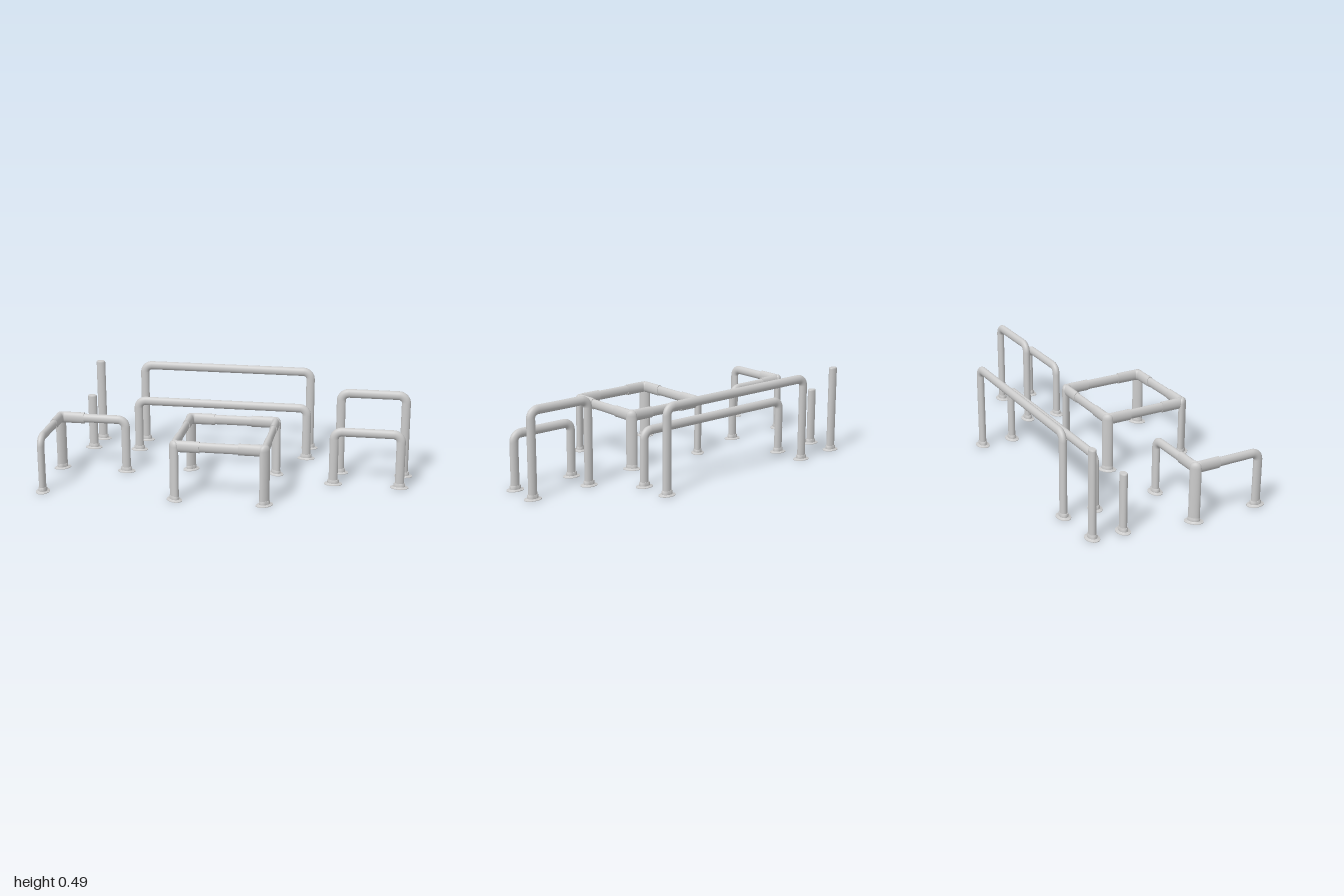
import * as THREE from 'three';
import { toCreasedNormals } from 'three/addons/utils/BufferGeometryUtils.js';

const steel = new THREE.MeshStandardMaterial({ color: 0xcccccc });
const LOW = 0.3, TALL = 0.464;   // centre heights of the horizontal bars
const A = 0.0245, B = 0.019;     // half sizes of the oval tube: in and across its plane

// Stations along a planar polyline whose right-angled corners are rounded
function bentPath(points, radius) {
  const p = points.map(([x, y]) => new THREE.Vector2(x, y));
  const dir = p.slice(1).map((q, i) => q.clone().sub(p[i]).normalize());
  const out = [{ p: p[0], t: dir[0], s: 1 }];
  for (let i = 1; i < p.length - 1; i++) {
    const d0 = dir[i - 1], d1 = dir[i];
    const c = p[i].clone().addScaledVector(d0, -radius).addScaledVector(d1, radius);
    for (let k = 0; k <= 8; k++) {
      const cos = Math.cos(k * Math.PI / 16), sin = Math.sin(k * Math.PI / 16);
      out.push({
        p: c.clone().addScaledVector(d1, -radius * cos).addScaledVector(d0, radius * sin),
        t: d0.clone().multiplyScalar(cos).addScaledVector(d1, sin), s: 1,
      });
    }
  }
  out.push({ p: p[p.length - 1], t: dir[dir.length - 1], s: 1 });
  return out;
}

// Upright stations given as [height, scale]
const uprightPath = (list) => list.map(([y, s]) => (
  { p: new THREE.Vector2(0, y), t: new THREE.Vector2(0, 1), s }));

// Sweep an oval (a in the xy plane, b along z) and close both ends
function ovalTube(path, a, b, sides = 24) {
  const pos = [], idx = [];
  const ring = ({ p, t, s }) => {
    const start = pos.length / 3;
    for (let j = 0; j < sides; j++) {
      const th = j / sides * Math.PI * 2, u = Math.cos(th) * a * s;
      pos.push(p.x - t.y * u, p.y + t.x * u, Math.sin(th) * b * s);
    }
    return start;
  };
  const starts = path.map(ring);
  for (let i = 0; i < starts.length - 1; i++) {
    for (let j = 0; j < sides; j++) {
      const k = (j + 1) % sides, q = starts[i], r = starts[i + 1];
      idx.push(q + j, q + k, r + k, q + j, r + k, r + j);
    }
  }
  [path[0], path[path.length - 1]].forEach((st, end) => {
    const q = ring(st), c = pos.length / 3;
    pos.push(st.p.x, st.p.y, 0);
    for (let j = 0; j < sides; j++) {
      const k = (j + 1) % sides;
      idx.push(c, q + (end ? j : k), q + (end ? k : j));
    }
  });
  const g = new THREE.BufferGeometry();
  g.setAttribute('position', new THREE.Float32BufferAttribute(pos, 3));
  g.setIndex(idx);
  g.computeVertexNormals();
  return g;
}

function add(parent, name, geometry, x = 0, y = 0, z = 0, turn = 0) {
  const m = new THREE.Mesh(geometry, steel);
  m.name = name;
  m.position.set(x, y, z);
  m.rotation.y = turn;
  parent.add(m);
  return m;
}

function section(parent, name) {
  const g = new THREE.Group();
  g.name = name;
  parent.add(g);
  return g;
}

// Oval floor flange with a short collar
const footProfile = [[0, 0], [0.05, 0], [0.05, 0.003], [0.034, 0.006], [0.0315, 0.008],
  [0.0315, 0.022], [0.029, 0.027], [0.018, 0.027]];
const footGeometry = toCreasedNormals(
  new THREE.LatheGeometry(footProfile.map(([x, y]) => new THREE.Vector2(x, y)), 20)
    .scale(1, 1, 0.73), 0.6);
const foot = (parent, x, z, turn = 0) => add(parent, 'foot', footGeometry, x, 0, z, turn);

// Hoop rail: two legs joined by a bar
function hoop(root, name, x0, x1, h, z) {
  const g = section(root, name);
  add(g, 'hoopTube', ovalTube(bentPath([[x0, 0.003], [x0, h], [x1, h], [x1, 0.003]], 0.042), A, B), 0, 0, z);
  foot(g, x0, z);
  foot(g, x1, z);
}

// Single upright post with a softly bevelled top
function post(root, name, x, z, h) {
  const g = section(root, name);
  add(g, 'postTube', ovalTube(uprightPath(
    [[0.003, 1], [h - 0.008, 1], [h - 0.003, 0.95], [h, 0.85]]), 0.026, B), x, 0, z);
  foot(g, x, z);
}

// Corner fitting: diagonal oval leg, domed top and two horizontal sleeves.
// sx, sz point outward from the corner.
function corner(parent, x, z, sx, sz) {
  const g = section(parent, 'corner');
  const turn = sx * sz * Math.PI / 4, arm = 0.137;
  add(g, 'cornerLeg', ovalTube(uprightPath(
    [[0.003, 1], [0.3, 1], [0.312, 0.93], [0.322, 0.75], [0.328, 0.45], [0.33, 0.15]]),
    0.0305, 0.02), x, 0, z, turn);
  const elbow = ovalTube(bentPath([[-sx * arm, 0], [0, 0], [0, -sz * arm]], 0.026), 0.0205, 0.0315);
  add(g, 'cornerSleeve', elbow.rotateX(Math.PI / 2), x, LOW, z);
  foot(g, x, z, turn);
}

// Square frame on four corner legs
function squareFrame(root) {
  const g = section(root, 'squareFrame');
  const xs = [-0.236, 0.243], zs = [-0.011, 0.464];
  const bar = (length) => ovalTube(bentPath([[0, 0], [length, 0]], 0), 0.027, 0.0175);
  xs.forEach((x, i) => zs.forEach((z, j) => corner(g, x, z, i * 2 - 1, j * 2 - 1)));
  zs.forEach((z) => add(g, 'crossBar', bar(xs[1] - xs[0]), xs[0], LOW, z));
  xs.forEach((x) => add(g, 'sideBar', bar(zs[1] - zs[0]), x, LOW, zs[0], -Math.PI / 2));
}

// L-shaped rail: one corner leg and two arms that bend down to the floor
function cornerRail(root) {
  const g = section(root, 'cornerRail');
  const x = -0.958, z = 0.078, across = 0.37, forward = 0.378;
  const arm = (length) => ovalTube(bentPath([[0, LOW], [length, LOW], [length, 0.003]], 0.042), A, B);
  corner(g, x, z, -1, -1);
  add(g, 'acrossArm', arm(across), x, 0, z);
  add(g, 'forwardArm', arm(forward), x, 0, z, -Math.PI / 2);
  foot(g, x + across, z);
  foot(g, x, z + forward, Math.PI / 2);
}

export function createModel() {
  const root = new THREE.Group();
  root.name = 'exerciseBars';
  hoop(root, 'longTallRail', -0.599, 0.383, TALL, -0.474);
  hoop(root, 'longLowRail', -0.599, 0.383, LOW, -0.291);
  hoop(root, 'shortTallRail', 0.591, 0.945, TALL, -0.086);
  hoop(root, 'shortLowRail', 0.571, 0.93, LOW, 0.097);
  post(root, 'tallPost', -0.861, -0.453, 0.484);
  post(root, 'lowPost', -0.873, -0.285, 0.323);
  squareFrame(root);
  cornerRail(root);
  return root;
}
